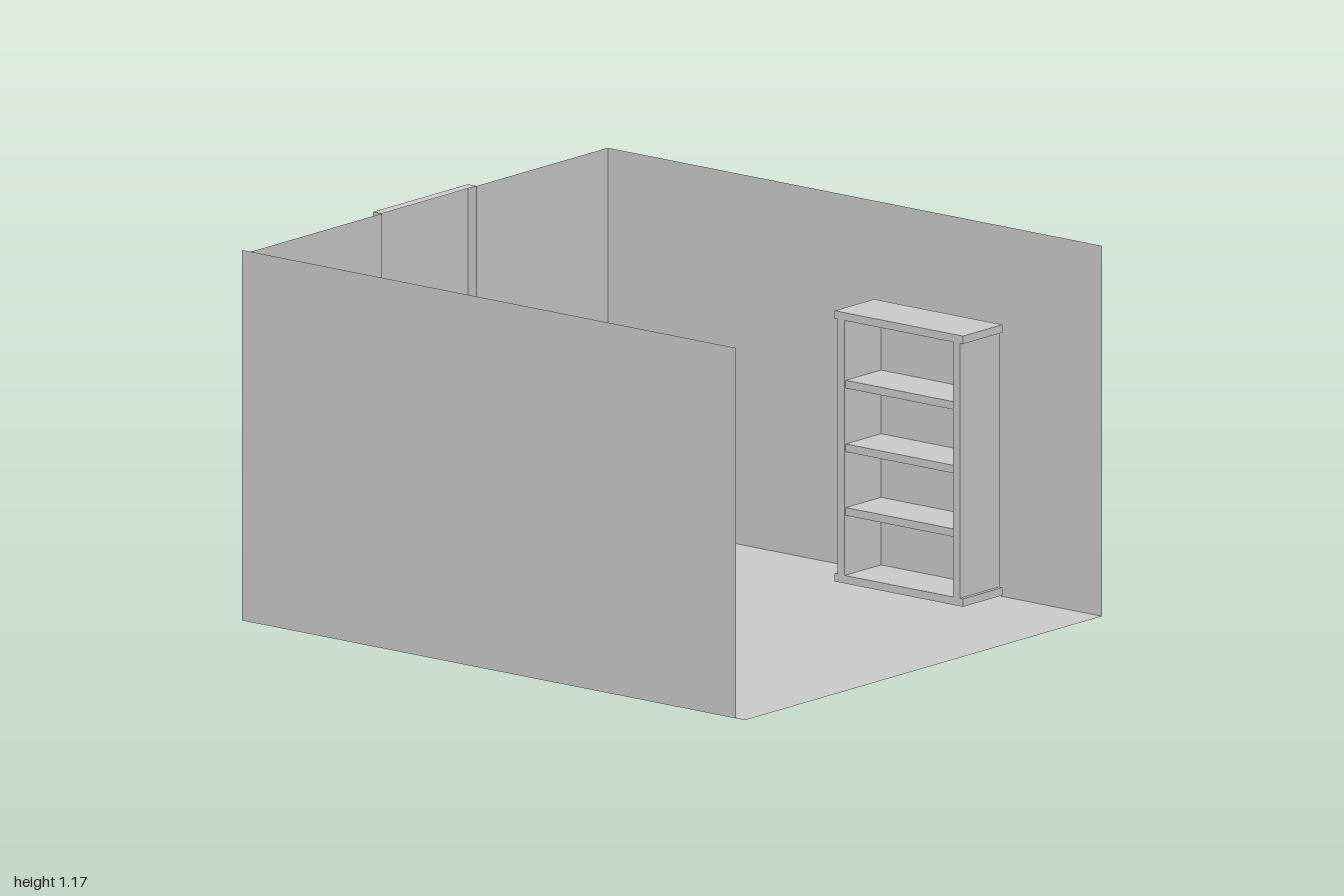
import * as THREE from 'three';

const W = 0.86, H = 1.17, FRONT = 1, BACK = -0.965, RECESS = 0.228, END = -1;

export function createModel() {
  const model = new THREE.Group();
  const thin = new THREE.MeshStandardMaterial({ color: 0xcccccc, side: THREE.DoubleSide });
  const solid = new THREE.MeshStandardMaterial({ color: 0xcccccc });

  // Upright sheet from floor to wall top between two plan points
  const wall = (name, x1, z1, x2, z2) => {
    const mesh = new THREE.Mesh(new THREE.PlaneGeometry(Math.hypot(x2 - x1, z2 - z1), H), thin);
    mesh.position.set((x1 + x2) / 2, H / 2, (z1 + z2) / 2);
    mesh.rotation.y = -Math.atan2(z2 - z1, x2 - x1);
    mesh.name = name;
    model.add(mesh);
  };

  // Flat sheet lying at height y
  const slab = (name, x1, x2, z1, z2, y, up = 1) => {
    const mesh = new THREE.Mesh(new THREE.PlaneGeometry(x2 - x1, z2 - z1), thin);
    mesh.position.set((x1 + x2) / 2, y, (z1 + z2) / 2);
    mesh.rotation.x = -up * Math.PI / 2;
    mesh.name = name;
    model.add(mesh);
  };

  // Room shell, open at the front and top
  slab('floor', -W, W, BACK, FRONT, 0);
  for (const [side, s] of [['left', 1], ['right', -1]]) {
    wall(side + 'Wall', s * W, s * FRONT, s * W, s * BACK);
    wall(side + 'BackWall', s > 0 ? RECESS : -W, BACK, s > 0 ? W : -RECESS, BACK);
    wall(side + 'RecessSide', s * RECESS, s > 0 ? BACK : END, s * RECESS, s > 0 ? END : BACK);
  }

  // Shallow full-height doorway recess
  wall('recessBack', -RECESS, END, RECESS, END);
  slab('recessTop', -RECESS, RECESS, END, BACK, H);
  slab('recessFloor', -RECESS, RECESS, END, BACK, 0);

  // Bookcase against the left wall, opening toward -x
  const bookcase = new THREE.Group();
  bookcase.name = 'bookcase';
  model.add(bookcase);
  const board = (name, x1, x2, y1, y2, z1, z2) => {
    const mesh = new THREE.Mesh(new THREE.BoxGeometry(x2 - x1, y2 - y1, z2 - z1), solid);
    mesh.position.set((x1 + x2) / 2, (y1 + y2) / 2, (z1 + z2) / 2);
    mesh.name = name;
    bookcase.add(mesh);
  };
  board('bookcaseTop', 0.65, 0.84, 0.84, 0.865, 0.11, 0.62);
  board('bookcaseBase', 0.65, 0.84, 0.01, 0.035, 0.11, 0.62);
  board('bookcaseRearSide', 0.65, 0.84, 0.035, 0.84, 0.122, 0.15);
  board('bookcaseFrontSide', 0.65, 0.84, 0.035, 0.84, 0.58, 0.608);
  board('bookcaseBackPanel', 0.825, 0.84, 0.035, 0.84, 0.15, 0.58);
  for (let i = 1; i <= 3; i++) {
    const y = 0.035 + i * 0.201;
    board('shelf' + i, 0.655, 0.825, y - 0.0125, y + 0.0125, 0.15, 0.58);
  }
  return model;
}
